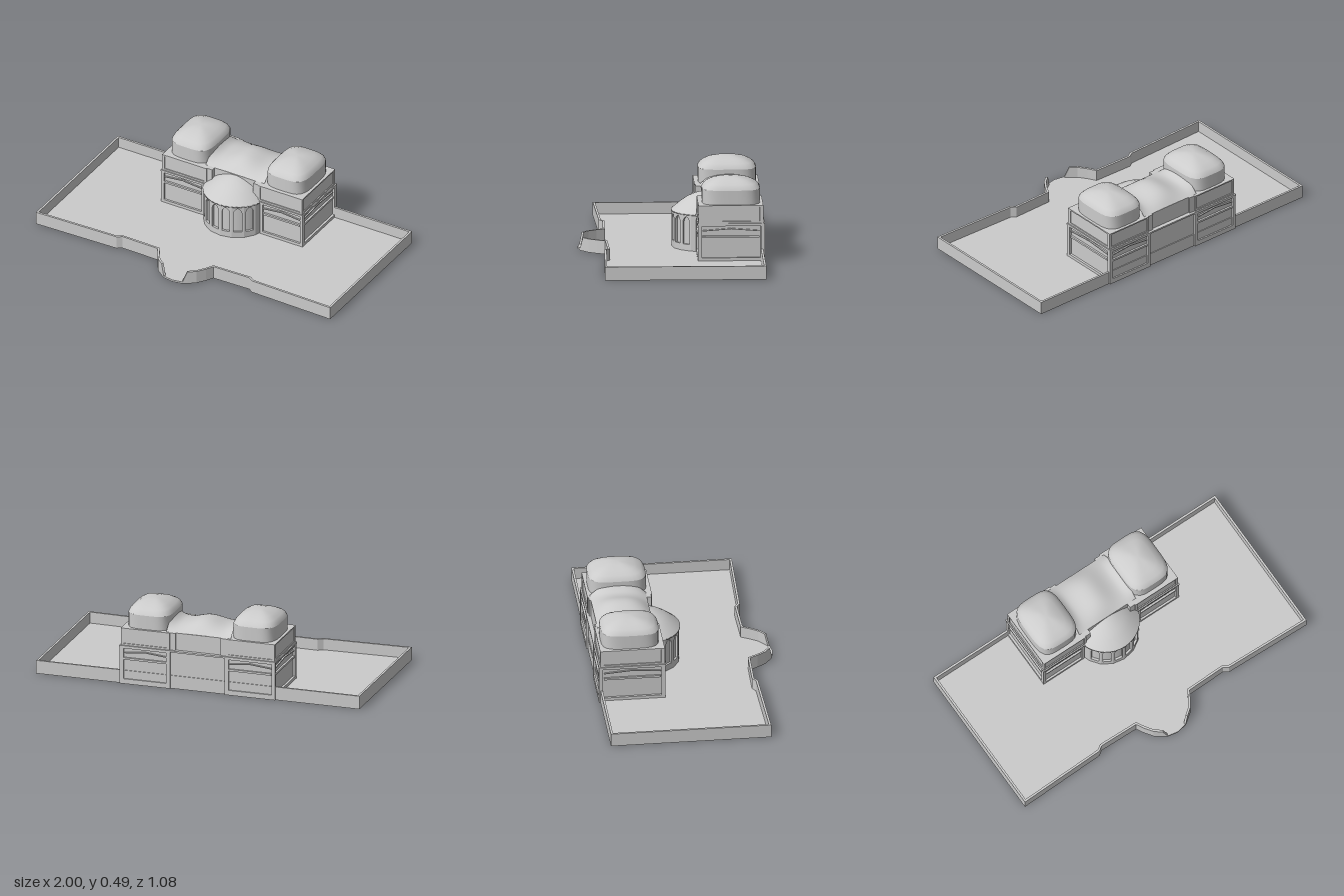
import * as THREE from 'three';
import { mergeVertices } from 'three/addons/utils/BufferGeometryUtils.js';

const grey = new THREE.MeshStandardMaterial({ color: 0xcccccc });
const greyThin = new THREE.MeshStandardMaterial({ color: 0xcccccc, side: THREE.DoubleSide });

function add(parent, name, geometry, x = 0, y = 0, z = 0, rotY = 0, material = grey) {
  const mesh = new THREE.Mesh(geometry, material);
  mesh.name = name;
  mesh.position.set(x, y, z);
  mesh.rotation.y = rotY;
  parent.add(mesh);
  return mesh;
}

const shapeOf = (pts) => new THREE.Shape(pts.map(([x, y]) => new THREE.Vector2(x, y)));
const extrude = (shape, depth) =>
  new THREE.ExtrudeGeometry(shape, { depth, bevelEnabled: false, curveSegments: 6 });

// Footprint given as [x, z] points, raised to a height
const slab = (pts, height) => extrude(shapeOf(pts.map(([x, z]) => [x, -z])), height).rotateX(-Math.PI / 2);

// Mirrors a half outline that runs from the front to the back
const mirrored = (half) => [...half, ...half.map(([x, ...rest]) => [-x, ...rest]).reverse()];

// Rectangular frame, centred in x, standing on y = 0
function frameGeometry(w, h, side, bottom, top, depth) {
  const shape = shapeOf([[-w / 2, 0], [w / 2, 0], [w / 2, h], [-w / 2, h]]);
  const a = w / 2 - side;
  shape.holes.push(new THREE.Path([[-a, bottom], [-a, h - top], [a, h - top], [a, bottom]]
    .map(([x, y]) => new THREE.Vector2(x, y))));
  return extrude(shape, depth);
}

// Boundary wall swept along [x, z, height] points, offset inward by its thickness
function wallGeometry(path, thickness) {
  const normal = (a, b) => new THREE.Vector2(b[1] - a[1], a[0] - b[0]).normalize();
  const sections = path.map((p, i) => {
    const n0 = normal(path[Math.max(i - 1, 0)], path[Math.max(i, 1)]);
    const last = path.length - 1;
    const n1 = normal(path[Math.min(i, last - 1)], path[Math.min(i + 1, last)]);
    const n = n0.clone().add(n1).normalize();
    n.multiplyScalar(thickness / n.dot(n0));
    const [x, z, h] = p;
    return [[x, 0, z], [x, h, z], [x + n.x, h, z + n.y], [x + n.x, 0, z + n.y]];
  });
  const pos = [];
  const quad = (a, b, c, d) => pos.push(...a, ...b, ...c, ...a, ...c, ...d);
  for (let i = 0; i < sections.length - 1; i++) {
    const A = sections[i], B = sections[i + 1];
    for (let k = 0; k < 4; k++) quad(A[k], B[k], B[(k + 1) % 4], A[(k + 1) % 4]);
  }
  quad(...sections[0]);
  quad(...sections[sections.length - 1].slice().reverse());
  const g = new THREE.BufferGeometry();
  g.setAttribute('position', new THREE.Float32BufferAttribute(pos, 3));
  g.computeVertexNormals();
  return g;
}

const lathe = (pts, segments = 40) =>
  new THREE.LatheGeometry(pts.map(([r, y]) => new THREE.Vector2(r, y)), segments);

// Lathe squared off into a rounded rectangle with half sizes hx, hz
function roundedSquareLathe(pts, hx, hz) {
  let g = lathe(pts);
  const p = g.attributes.position;
  for (let i = 0; i < p.count; i++) {
    const x = p.getX(i), z = p.getZ(i), r = Math.hypot(x, z);
    const s = r < 1e-6 ? 1 : r / Math.pow(x ** 4 + z ** 4, 0.25);
    p.setX(i, x * s * hx);
    p.setZ(i, z * s * hz);
  }
  g.deleteAttribute('uv');
  g.deleteAttribute('normal');
  g = mergeVertices(g, 1e-5);
  g.computeVertexNormals();
  return g;
}

// Ledge and shallow gabled moulding that decorate a facade panel of width w
function panelMouldings(parent, w, x, z, rotY) {
  const group = new THREE.Group();
  group.name = 'panelMouldings';
  group.position.set(x, 0, z);
  group.rotation.y = rotY;
  parent.add(group);
  add(group, 'ledge', new THREE.BoxGeometry(w, 0.012, 0.012), 0, 0.154, 0.006);
  const a = w / 2;
  add(group, 'gableMoulding', extrude(shapeOf([[-a, 0.186], [0, 0.199], [a, 0.186],
    [a, 0.192], [0, 0.205], [-a, 0.192]]), 0.009));
}

function buildCourtyard(root) {
  const H = 0.08;
  const half = [[0.065, 0.528, 0.014], [0.088, 0.512, H], [0.13, 0.48, H], [0.165, 0.43, H], [0.19, 0.385, H],
    [0.43, 0.38, H], [0.46, 0.4, H], [1, 0.415, H], [1, -0.53, H]];
  const path = mirrored(half);
  add(root, 'courtyardFloor', slab([[0, 0.54], ...path], 0.012));
  add(root, 'boundaryWall', wallGeometry(path, 0.013));
}

function buildHall(root) {
  // Lower storey: plain core with raised frames around its panels
  add(root, 'lowerStorey', new THREE.BoxGeometry(0.932, 0.23, 0.365), 0, 0.115, -0.3425);
  add(root, 'stringCourse', new THREE.BoxGeometry(0.966, 0.01, 0.396), 0, 0.23, -0.342);
  for (const s of [-1, 1]) {
    const turn = s * Math.PI / 2;
    add(root, 'sidePanelFrame', frameGeometry(0.389, 0.228, 0.022, 0.03, 0.01, 0.014), s * 0.466, 0, -0.3435, turn);
    panelMouldings(root, 0.335, s * 0.466, -0.342, turn);
    add(root, 'frontPanelFrame', frameGeometry(0.29, 0.228, 0.018, 0.03, 0.01, 0.012), s * 0.335, 0, -0.16);
    panelMouldings(root, 0.25, s * 0.335, -0.16, 0);
    add(root, 'backPanelFrame', frameGeometry(0.31, 0.228, 0.022, 0.03, 0.01, 0.014), s * 0.325, 0, -0.525, Math.PI);
    panelMouldings(root, 0.262, s * 0.325, -0.525, Math.PI);
  }

  // Upper storey, stepped back in the middle of the front and back
  const half = [[0.14, -0.185], [0.14, -0.157], [0.47, -0.157], [0.47, -0.525], [0.14, -0.525], [0.14, -0.515]];
  add(root, 'upperStorey', slab(mirrored(half), 0.11), 0, 0.23, 0);
  for (const s of [-1, 1]) {
    add(root, 'upperSideFrame', frameGeometry(0.378, 0.106, 0.02, 0.012, 0.008, 0.006),
      s * 0.47, 0.234, -0.341, s * Math.PI / 2);
    add(root, 'upperFrontFrame', frameGeometry(0.3, 0.106, 0.015, 0.012, 0.008, 0.006), s * 0.325, 0.234, -0.157);
    add(root, 'upperBackFrame', frameGeometry(0.3, 0.106, 0.015, 0.012, 0.008, 0.006),
      s * 0.325, 0.234, -0.525, Math.PI);
  }

  // Central roof: a low vault that sweeps up into the two towers
  const roof = new THREE.PlaneGeometry(0.4, 0.33, 32, 16).rotateX(-Math.PI / 2);
  const p = roof.attributes.position;
  for (let i = 0; i < p.count; i++) {
    const x = Math.abs(p.getX(i)), t = Math.abs(p.getZ(i) / 0.165);
    const rise = x < 0.14 ? 0.05 + 0.015 * Math.cos(Math.PI * x / 0.14) : 0.035 + 9 * (x - 0.14) ** 2;
    p.setY(i, rise * (1 - t ** 2.5));
  }
  roof.computeVertexNormals();
  add(root, 'centralRoof', roof, 0, 0.341, -0.35, 0, greyThin);
}

function buildTowers(root) {
  for (const s of [-1, 1]) {
    const tower = new THREE.Group();
    tower.name = s > 0 ? 'leftTower' : 'rightTower';
    tower.position.set(s * 0.325, 0, -0.345);
    root.add(tower);
    add(tower, 'drum', roundedSquareLathe([[1, 0.335], [1, 0.425]], 0.135, 0.17));
    add(tower, 'dome', roundedSquareLathe([[1, 0.425], [0.95, 0.439], [0.85, 0.455], [0.62, 0.475],
      [0.3, 0.488], [0, 0.494]], 0.135, 0.17));
  }
}

function buildApse(root) {
  const apse = new THREE.Group();
  apse.name = 'apse';
  apse.position.z = -0.209;
  root.add(apse);
  const R = 0.198, bay = 21 * Math.PI / 180;
  const w = R * Math.sin(bay / 2), d = R * Math.cos(bay / 2), t = 0.014;

  // Six arched window bays with a blank bay at each end
  for (let i = 0; i < 8; i++) {
    const angle = (i - 3.5) * bay;
    const shape = shapeOf([[-w, 0], [w, 0], [w, 0.228], [-w, 0.228]]);
    if (i > 0 && i < 7) {
      const arch = new THREE.Path();
      arch.moveTo(-0.024, 0.05);
      arch.lineTo(-0.024, 0.182);
      arch.quadraticCurveTo(-0.02, 0.205, 0, 0.213);
      arch.quadraticCurveTo(0.02, 0.205, 0.024, 0.182);
      arch.lineTo(0.024, 0.05);
      shape.holes.push(arch);
    }
    add(apse, 'apseBay', extrude(shape, t), Math.sin(angle) * (d - t), 0, Math.cos(angle) * (d - t), angle);
  }
  add(apse, 'apseCore', new THREE.CylinderGeometry(0.182, 0.182, 0.228, 40), 0, 0.114, 0);
  add(apse, 'apseCornice', lathe([[0.19, 0.222], [0.202, 0.224], [0.202, 0.233], [0.19, 0.235]]));
  add(apse, 'apseDome', lathe([[0.2, 0.232], [0.178, 0.252], [0.145, 0.279], [0.11, 0.303],
    [0.065, 0.324], [0.03, 0.334], [0, 0.337]]));
}

export function createModel() {
  const root = new THREE.Group();
  root.name = 'domedHall';
  buildCourtyard(root);
  buildHall(root);
  buildTowers(root);
  buildApse(root);
  return root;
}
